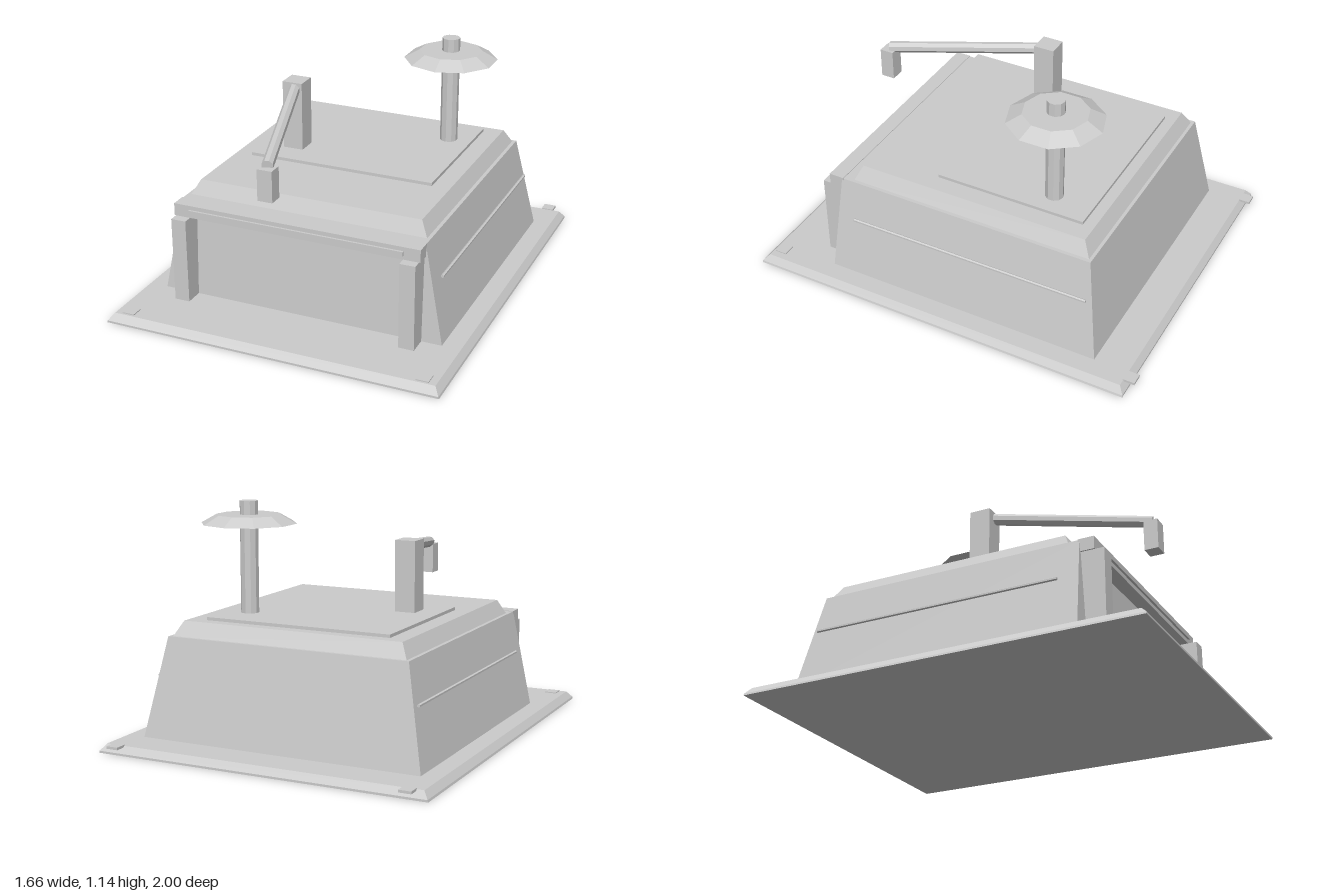
import * as THREE from 'three';

const material = new THREE.MeshStandardMaterial({ color: 0xcccccc, flatShading: true });

export function createModel() {
  const model = new THREE.Group();

  function add(name, geometry) {
    const mesh = new THREE.Mesh(geometry, material);
    mesh.name = name;
    model.add(mesh);
    return mesh;
  }

  // Box given by its extents along each axis
  function box(name, [x0, x1], [y0, y1], [z0, z1]) {
    const mesh = add(name, new THREE.BoxGeometry(x1 - x0, y1 - y0, z1 - z0));
    mesh.position.set((x0 + x1) / 2, (y0 + y1) / 2, (z0 + z1) / 2);
    return mesh;
  }

  // Tapered block: lower and upper rectangles as [half width, back z, front z]
  function taper(name, y0, y1, lower, upper) {
    const geometry = new THREE.BoxGeometry(2, 1, 2);
    const p = geometry.attributes.position;
    for (let i = 0; i < p.count; i++) {
      const top = p.getY(i) > 0;
      const [w, back, front] = top ? upper : lower;
      p.setXYZ(i, p.getX(i) * w, top ? y1 : y0, p.getZ(i) > 0 ? front : back);
    }
    geometry.computeVertexNormals();
    return add(name, geometry);
  }

  // Round rod between two points
  function rod(name, a, b, radius, sides) {
    const from = new THREE.Vector3(...a), to = new THREE.Vector3(...b);
    const dir = to.clone().sub(from);
    const mesh = add(name, new THREE.CylinderGeometry(radius, radius, dir.length(), sides));
    mesh.position.copy(from).add(to).multiplyScalar(0.5);
    mesh.quaternion.setFromUnitVectors(new THREE.Vector3(0, 1, 0), dir.normalize());
    return mesh;
  }

  // Base slab and stepped housing
  taper('baseEdge', 0, 0.01, [0.828, -0.97, 1.0], [0.825, -0.97, 1.0]);
  taper('basePlate', 0.01, 0.042, [0.825, -0.97, 1.0], [0.8, -0.945, 0.97]);
  taper('housing', 0.04, 0.52, [0.71, -0.775, 0.645], [0.615, -0.695, 0.622]);
  taper('roof', 0.515, 0.59, [0.6, -0.682, 0.565], [0.56, -0.64, 0.53]);
  box('roofPanel', [-0.475, 0.47], [0.588, 0.605], [-0.585, 0.17]);

  // Mirrored parts: corner pads, door jambs and side rails
  for (const [side, s] of [['left', 1], ['right', -1]]) {
    const span = (a, b) => (s > 0 ? [a, b] : [-b, -a]);
    box(side + 'BackPad', span(0.705, 0.765), [0.035, 0.047], [-1.0, -0.943]);
    box(side + 'FrontPad', span(0.705, 0.765), [0.035, 0.047], [0.9, 0.96]);
    box(side + 'DoorJamb', span(0.535, 0.61), [0.04, 0.462], [0.62, 0.737]);
    rod(side + 'SideRail', [s * 0.664, 0.33, -0.7], [s * 0.664, 0.33, 0.535], 0.008, 6);
  }

  // Lintel with a trim bar
  box('lintel', [-0.617, 0.617], [0.462, 0.523], [0.615, 0.692]);
  box('lintelTrim', [-0.537, 0.537], [0.483, 0.503], [0.685, 0.703]);

  // Crane: post, sloping arm and hanging weight
  box('cranePost', [-0.363, -0.26], [0.6, 0.95], [-0.063, 0.042]);
  rod('craneArm', [-0.315, 0.923, -0.01], [-0.083, 0.832, 0.768], 0.028, 8);
  box('craneWeight', [-0.119, -0.045], [0.673, 0.825], [0.733, 0.803]);

  // Chimney with a faceted rain cap
  rod('chimneyPipe', [0.353, 0.595, -0.383], [0.353, 1.14, -0.383], 0.044, 10);
  const cap = add('chimneyCap', new THREE.CylinderGeometry(0.155, 0.23, 0.042, 10));
  cap.position.set(0.353, 1.054, -0.383);

  return model;
}
